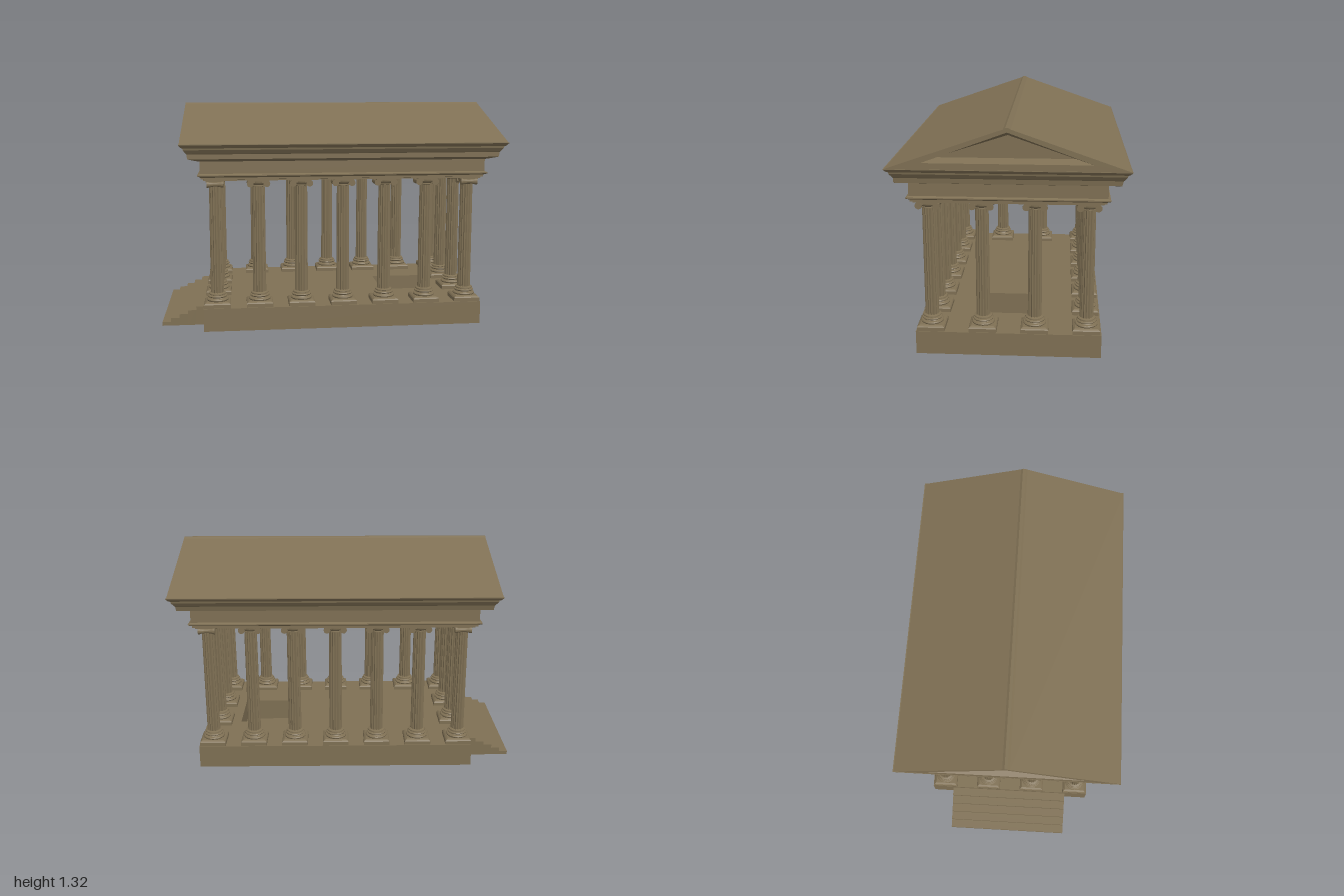
import * as THREE from 'three';
import { toCreasedNormals } from 'three/addons/utils/BufferGeometryUtils.js';

const stone = new THREE.MeshStandardMaterial({ color: 0x7f7054 });
stone.name = 'stone';

const CX = 0.068, CZ = 0.005; // plan centre of the temple body

function part(name, geometry, parent, x = 0, y = 0, z = 0) {
  const mesh = new THREE.Mesh(geometry, stone);
  mesh.name = name;
  mesh.position.set(x, y, z);
  parent.add(mesh);
  return mesh;
}

// Joins rings of equal point count with flat quads and caps both ends
function loft(rings) {
  const out = [];
  const tri = (a, b, c) => out.push(...a, ...b, ...c);
  const n = rings[0].length;
  for (let k = 0; k + 1 < rings.length; k++) {
    const a = rings[k], b = rings[k + 1];
    for (let i = 0; i < n; i++) {
      const j = (i + 1) % n;
      tri(a[i], a[j], b[j]);
      tri(a[i], b[j], b[i]);
    }
  }
  const first = rings[0], last = rings[rings.length - 1];
  for (let i = 1; i + 1 < n; i++) {
    tri(first[0], first[i + 1], first[i]);
    tri(last[0], last[i], last[i + 1]);
  }
  const g = new THREE.BufferGeometry();
  g.setAttribute('position', new THREE.Float32BufferAttribute(out, 3));
  g.computeVertexNormals();
  return g;
}

// Horizontal rectangle ring
const rect = (y, cx, cz, hx, hz) => [
  [cx + hx, y, cz - hz], [cx - hx, y, cz - hz], [cx - hx, y, cz + hz], [cx + hx, y, cz + hz],
];

function turned(points, segments = 24) {
  const g = new THREE.LatheGeometry(points.map(([r, y]) => new THREE.Vector2(r, y)), segments);
  return toCreasedNormals(g, 0.6);
}

function flutedShaft(bottom, top) {
  const g = new THREE.CylinderGeometry(0.0365, 0.039, top - bottom, 64, 1, true);
  const p = g.attributes.position;
  for (let i = 0; i < p.count; i++) {
    const f = 1 - 0.12 * Math.abs(Math.sin(8 * Math.atan2(p.getZ(i), p.getX(i))));
    p.setXYZ(i, p.getX(i) * f, p.getY(i) + (top + bottom) / 2, p.getZ(i) * f);
  }
  return toCreasedNormals(g, 0.5);
}

export function createModel() {
  const model = new THREE.Group();
  model.name = 'temple';

  // Platform with a square pit and a thin plate under it
  const pit = (y) => rect(y, 0.516, CZ, 0.162, 0.168);
  const slab = (y) => rect(y, CX + 0.003, CZ, 0.82, 0.514);
  part('platform', loft([pit(0), pit(0.01), slab(0.01), slab(0.145), pit(0.145), pit(0.012)]), model);

  // Entrance steps
  const steps = new THREE.Group();
  steps.name = 'steps';
  model.add(steps);
  for (let i = 0; i < 5; i++) {
    const h = 0.0225 * (i + 1);
    part('step', new THREE.BoxGeometry(0.05, h, 0.75), steps, -0.975 + 0.05 * i, 0.01 + h / 2, 0);
  }

  // Column pieces shared by all columns
  const plinth = loft([
    rect(0.145, 0, 0, 0.077, 0.077), rect(0.166, 0, 0, 0.077, 0.077),
    rect(0.172, 0, 0, 0.072, 0.072), rect(0.178, 0, 0, 0.062, 0.062),
  ]);
  const foot = turned([
    [0.058, 0.176], [0.063, 0.181], [0.064, 0.186], [0.06, 0.191], [0.05, 0.193], [0.047, 0.197],
    [0.05, 0.2], [0.056, 0.202], [0.058, 0.206], [0.055, 0.21], [0.046, 0.212], [0.046, 0.215],
    [0.051, 0.217], [0.05, 0.222], [0.036, 0.226],
  ]);
  const shaft = flutedShaft(0.22, 0.855);
  const echinus = turned([
    [0.034, 0.848], [0.041, 0.85], [0.041, 0.855], [0.038, 0.857], [0.044, 0.863], [0.05, 0.872], [0.05, 0.88],
  ]);
  const scroll = turned([
    [0, -0.048], [0.019, -0.048], [0.019, -0.04], [0.016, -0.03], [0.012, -0.008], [0.012, 0.008],
    [0.016, 0.03], [0.019, 0.04], [0.019, 0.048], [0, 0.048],
  ], 20);
  scroll.rotateX(Math.PI / 2);
  const bridge = new THREE.BoxGeometry(0.1, 0.01, 0.09);
  const abacus = new THREE.BoxGeometry(0.112, 0.01, 0.104);

  function column(x, z, scrollsAlongZ) {
    const c = new THREE.Group();
    c.name = 'column';
    c.position.set(x, 0, z);
    if (scrollsAlongZ) c.rotation.y = Math.PI / 2;
    part('plinth', plinth, c);
    part('columnBase', foot, c);
    part('shaft', shaft, c);
    part('echinus', echinus, c);
    for (const s of [-1, 1]) part('scroll', scroll, c, s * 0.048, 0.865, 0);
    part('scrollBridge', bridge, c, 0, 0.876, 0);
    part('abacus', abacus, c, 0, 0.884, 0);
    model.add(c);
  }

  // Columns around the perimeter only
  for (let i = 0; i < 7; i++) {
    for (let j = 0; j < 4; j++) {
      const end = i === 0 || i === 6;
      if (end || j === 0 || j === 3) column(-0.67 + 0.2467 * i, CZ - 0.431 + 0.2873 * j, end);
    }
  }

  // Entablature: half depth and height of each moulding edge
  const mouldings = [
    [0.506, 0.888], [0.506, 0.896], [0.519, 0.898], [0.519, 0.908], [0.538, 0.918], [0.538, 0.924],
    [0.524, 0.93], [0.524, 1.0], [0.536, 1.003], [0.586, 1.018], [0.59, 1.045], [0.594, 1.05],
    [0.608, 1.07], [0.61, 1.08], [0.618, 1.083], [0.631, 1.098], [0.631, 1.102],
  ];
  part('entablature', loft(mouldings.map(([h, y]) =>
    rect(y, CX, y > 1.04 ? 0 : CZ * 0.7, h + 0.297, h))), model);

  // Roof with a recessed triangular pediment at each end
  const gable = (x) => [[x, 1.1, -0.631], [x, 1.312, -0.02], [x, 1.32, -0.008], [x, 1.32, 0.008], [x, 1.312, 0.02], [x, 1.1, 0.631]];
  const triangle = (x, half, low, high) => [
    [x, low, -half], [x, high, 0], [x, high, 0], [x, high, 0], [x, high, 0], [x, low, half],
  ];
  const x0 = CX - 0.925, x1 = CX + 0.925, recess = 0.06;
  part('roof', loft([
    triangle(x0 + recess, 0.37, 1.152, 1.272), triangle(x0, 0.44, 1.135, 1.297), gable(x0),
    gable(x1), triangle(x1, 0.44, 1.135, 1.297), triangle(x1 - recess, 0.37, 1.152, 1.272),
  ]), model);

  return model;
}
